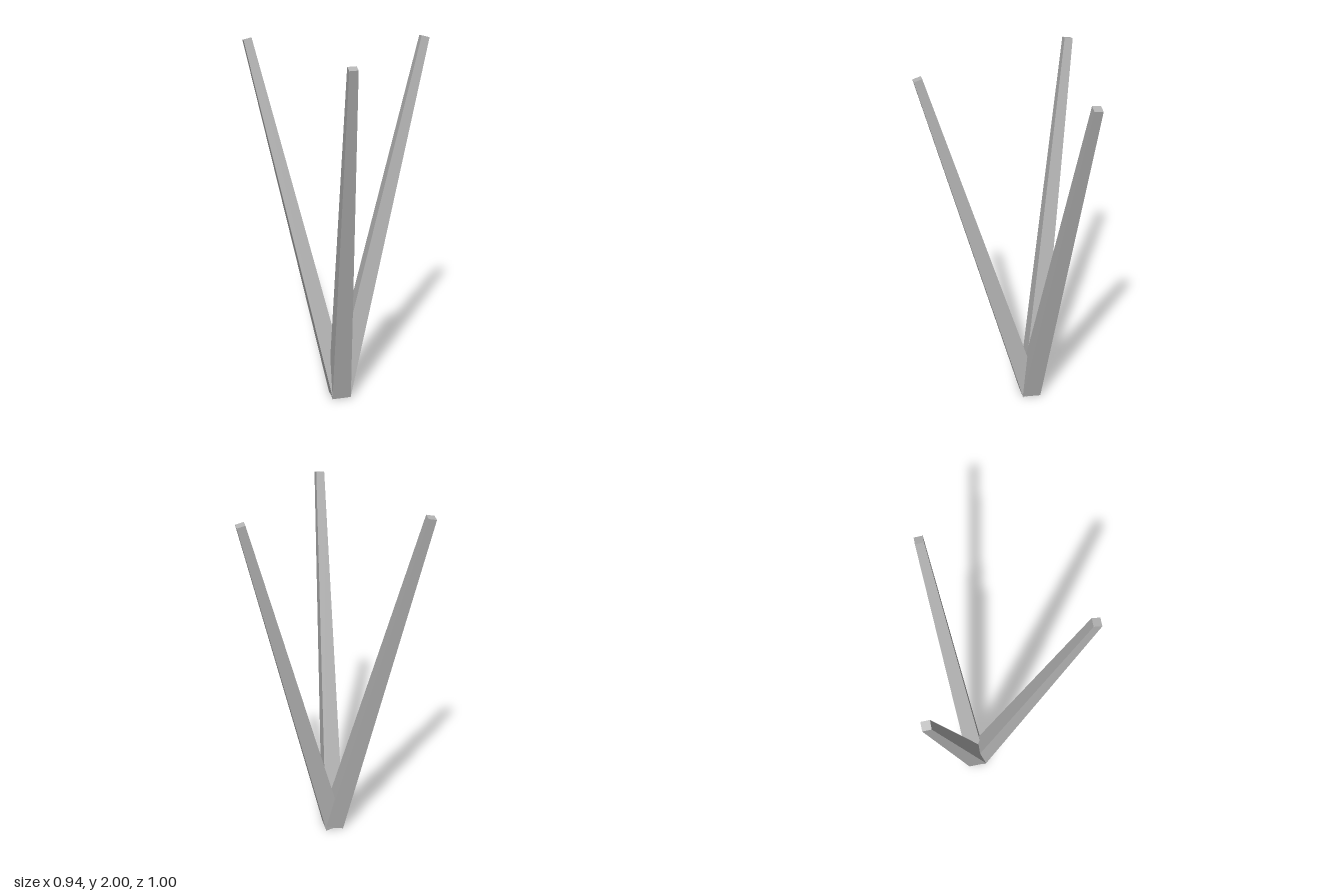
import * as THREE from 'three';

export function createModel() {
  const group = new THREE.Group();
  group.name = 'tripodLegs';
  const grey = new THREE.MeshStandardMaterial({ color: 0xb4b4b4, flatShading: true });
  grey.name = 'plain grey';

  // Shared foot from which three tapered square legs spread upwards
  const foot = new THREE.Vector3(0.1, 0.02, 0.037);
  const up = new THREE.Vector3(0, 1, 0);
  const tips = {
    rightLeg: [-0.445, 1.991, 0.108],
    backLeg: [0.31, 1.991, -0.474],
    frontLeg: [0.437, 1.991, 0.468],
  };

  for (const [name, tip] of Object.entries(tips)) {
    const end = new THREE.Vector3(...tip);
    const axis = end.clone().sub(foot);
    const leg = new THREE.Mesh(
      new THREE.CylinderGeometry(0.032, 0.075, axis.length(), 4),
      grey
    );
    leg.name = name;
    leg.position.copy(foot).add(end).multiplyScalar(0.5);
    leg.quaternion.setFromUnitVectors(up, axis.normalize());
    group.add(leg);
  }
  return group;
}
